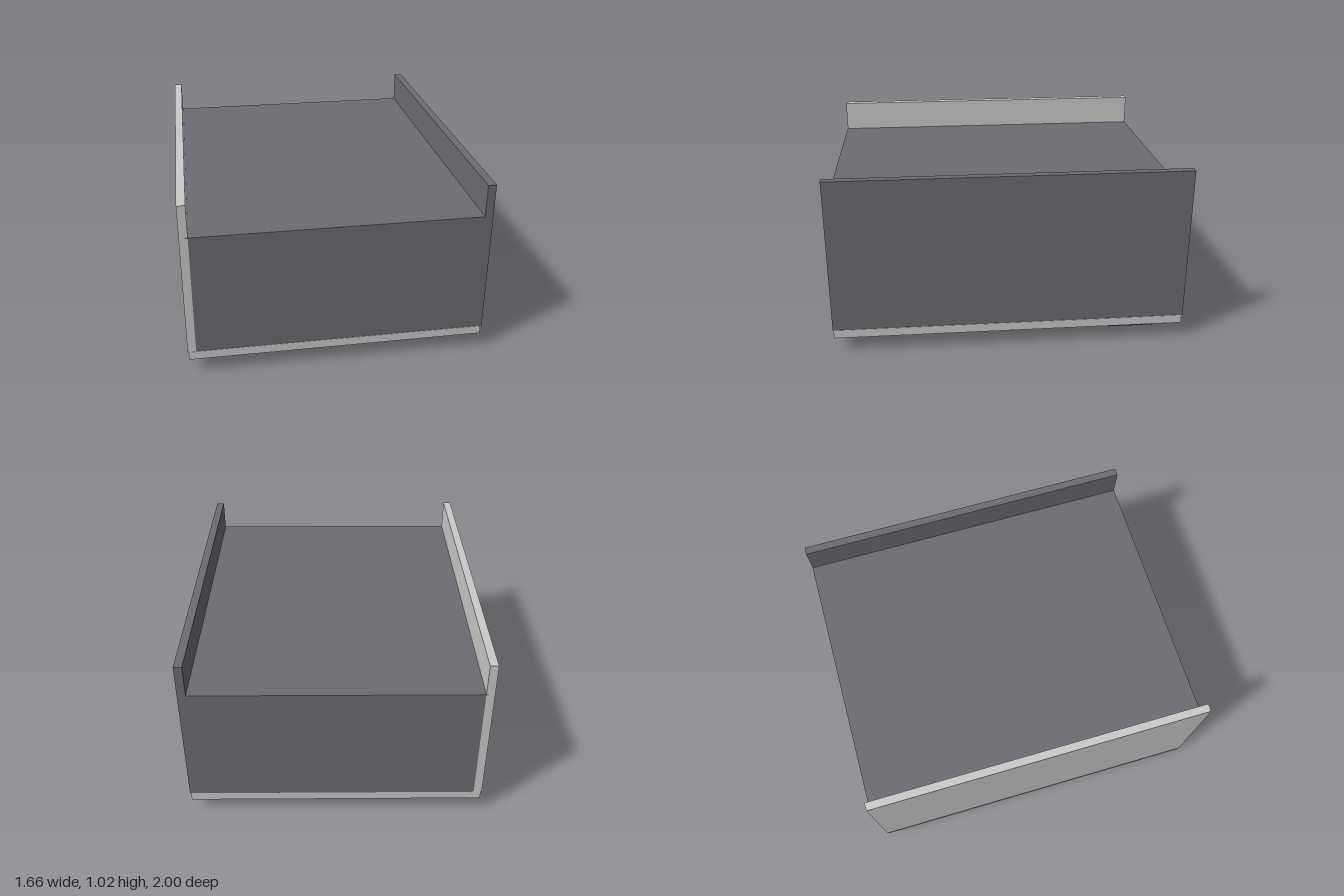
import * as THREE from 'three';

const light = new THREE.MeshStandardMaterial({ color: 0xcccccc });
const dark = new THREE.MeshStandardMaterial({ color: 0x6d6c73 });

export function createModel() {
  const model = new THREE.Group();
  model.name = 'wallCabinet';

  // Box given by its minimum and maximum corners
  const panel = (name, material, [x0, y0, z0], [x1, y1, z1]) => {
    const mesh = new THREE.Mesh(new THREE.BoxGeometry(x1 - x0, y1 - y0, z1 - z0), material);
    mesh.position.set((x0 + x1) / 2, (y0 + y1) / 2, (z0 + z1) / 2);
    mesh.name = name;
    model.add(mesh);
  };

  // Carcass lying face down: two tall sides, two end panels and a thin back
  const base = 0.143, inner = 0.784, t = 0.046;
  panel('sidePanelRight', light, [-0.83, base, -0.999], [-inner, 1.025, 0.999]);
  panel('sidePanelLeft', dark, [inner, base, -0.999], [0.83, 1.025, 0.999]);
  panel('endPanelFront', dark, [-inner, base, 0.999 - t], [inner, 0.838, 0.999]);
  panel('endPanelRear', dark, [-inner, base, -0.999], [inner, 0.838, t - 0.999]);
  panel('backPanel', dark, [-0.798, 0.837, -1], [0.798, 0.842, 1]);

  // Door, slightly smaller than the carcass, with a narrow reveal above it
  panel('door', light, [-0.825, 0.09, -0.995], [0.825, 0.139, 0.995]);

  // Bar handle on two posts
  const handle = new THREE.Group();
  handle.name = 'handle';
  handle.position.set(0.677, 0, -0.733);
  const bar = new THREE.Mesh(new THREE.CylinderGeometry(0.013, 0.013, 0.27, 24), dark);
  bar.name = 'handleBar';
  bar.rotation.x = Math.PI / 2;
  bar.position.y = 0.013;
  handle.add(bar);
  for (const z of [-0.067, 0.067]) {
    const post = new THREE.Mesh(new THREE.CylinderGeometry(0.007, 0.007, 0.08, 16), dark);
    post.name = 'handlePost';
    post.position.set(0, 0.053, z);
    handle.add(post);
  }
  model.add(handle);
  return model;
}
